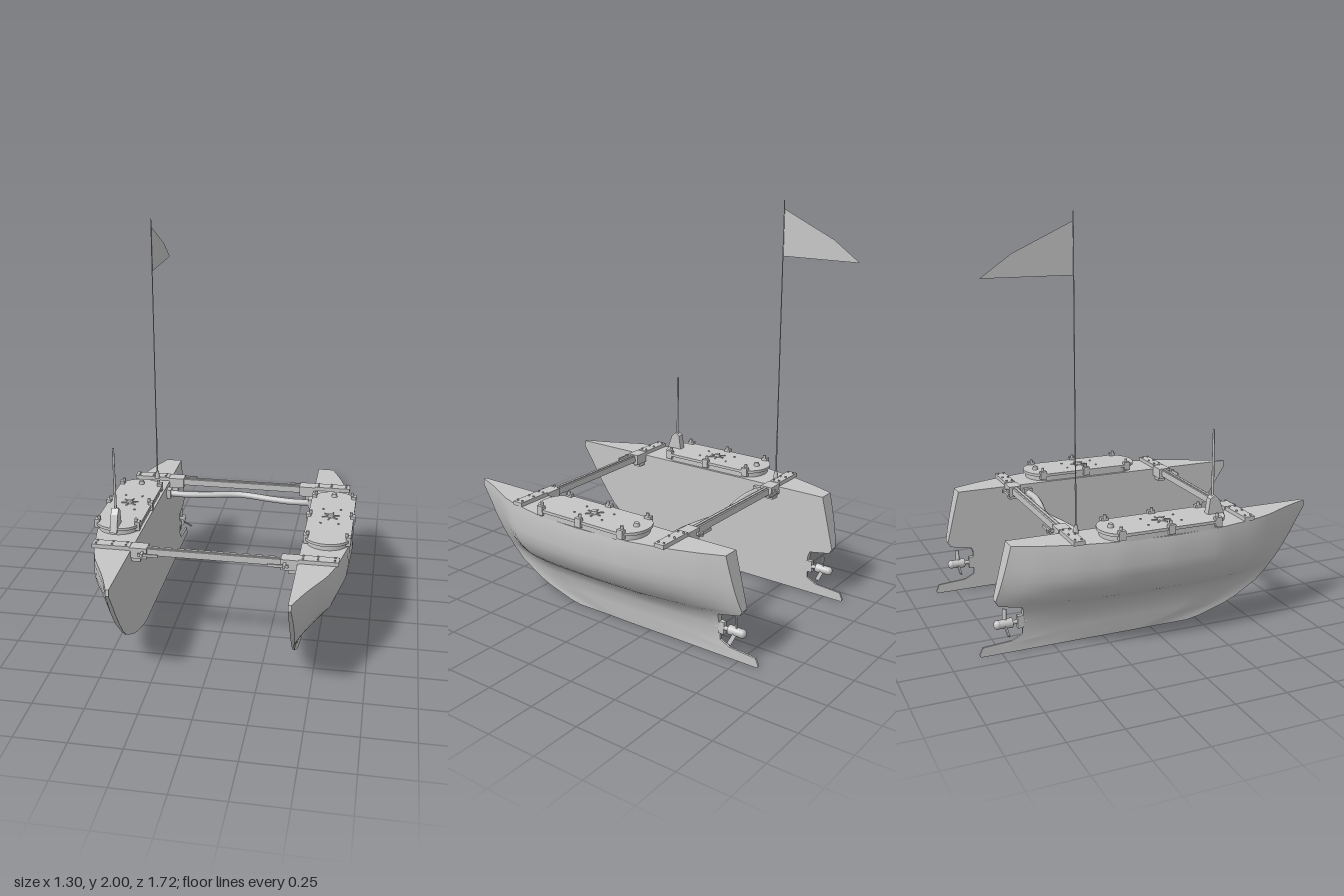
import * as THREE from 'three';
import { toCreasedNormals } from 'three/addons/utils/BufferGeometryUtils.js';

const grey = new THREE.MeshStandardMaterial({ color: 0xc6c6c6 });
grey.name = 'light grey';
grey.side = THREE.DoubleSide;

const INNER = 0.405; // flat inboard face of each hull

// Hull waterlines: height, fullness, stern z, bow z
const ROWS = [
  [0, 0.05, -0.85, 0.2], [0.01, 0.06, -0.855, 0.26], [0.045, 0.07, -0.84, 0.38],
  [0.055, 0.08, -0.7, 0.41], [0.08, 0.09, -0.65, 0.47], [0.15, 0.15, -0.65, 0.59],
  [0.2, 0.27, -0.65, 0.645], [0.225, 0.42, -0.66, 0.665], [0.245, 0.55, -0.77, 0.68],
  [0.27, 0.68, -0.785, 0.7], [0.32, 0.86, -0.773, 0.735], [0.37, 0.96, -0.761, 0.77],
  [0.42, 1, -0.749, 0.8], [0.51, 1, -0.727, 0.86], [0.54, 0.985, -0.72, 0.855],
];
// Deck plan: z, width
const PLAN = [
  [-0.86, 0.04], [-0.72, 0.085], [-0.6, 0.135], [-0.44, 0.185], [-0.25, 0.225], [0, 0.24],
  [0.25, 0.23], [0.45, 0.19], [0.65, 0.125], [0.78, 0.08], [0.87, 0.055],
];

function planWidth(z) {
  const k = Math.max(1, PLAN.findIndex((p) => p[0] >= z));
  const [a, b] = [PLAN[k - 1], PLAN[k]];
  return a[1] + ((b[1] - a[1]) * (z - a[0])) / (b[0] - a[0]);
}

// Loft of closed waterline rings: outboard side stern to bow, inboard side back
function hullGeometry(side) {
  const n = 32, ring = 2 * (n + 1), pos = [], idx = [];
  for (const [y, full, zs, zb] of ROWS) {
    const zAt = (i) => zs + (zb - zs) * (i / n);
    for (let i = 0; i <= n; i++) {
      const z = zAt(i);
      const taper = Math.min(1, Math.sqrt((zb - z + 0.02) / 0.3));
      pos.push(side * (INNER + Math.max(0.01, planWidth(z) * full * taper)), y, z);
    }
    for (let i = n; i >= 0; i--) pos.push(side * INNER, y, zAt(i));
  }
  const tri = (a, b, c) => (side > 0 ? idx.push(a, b, c) : idx.push(a, c, b));
  for (let j = 0; j < ROWS.length - 1; j++) {
    for (let i = 0; i < ring; i++) {
      const a = j * ring + i, b = j * ring + ((i + 1) % ring);
      tri(a, a + ring, b);
      tri(b, a + ring, b + ring);
    }
  }
  const top = (ROWS.length - 1) * ring;
  for (let i = 0; i < n; i++) {
    const o = i, o2 = i + 1, m = ring - 1 - i, m2 = m - 1;
    tri(top + m, top + m2, top + o); // deck
    tri(top + o, top + m2, top + o2);
    tri(m, o, m2); // keel
    tri(o, o2, m2);
  }
  const g = new THREE.BufferGeometry();
  g.setAttribute('position', new THREE.Float32BufferAttribute(pos, 3));
  g.setIndex(idx);
  return toCreasedNormals(g, 0.6);
}

function add(parent, name, geo, x = 0, y = 0, z = 0) {
  const m = new THREE.Mesh(geo, grey);
  m.name = name;
  m.position.set(x, y, z);
  parent.add(m);
  return m;
}
const box = (w, h, d) => new THREE.BoxGeometry(w, h, d);
const rod = (r1, r2, h, s = 10) => new THREE.CylinderGeometry(r1, r2, h, s);

// Long plate with half-elliptical ends, lying flat
function lidGeometry(w, len, end, h) {
  const s = new THREE.Shape();
  s.absellipse(0, len - end, w, end, 0, Math.PI, false, 0);
  s.absellipse(0, -(len - end), w, end, Math.PI, 2 * Math.PI, false, 0);
  const g = new THREE.ExtrudeGeometry(s, { depth: h, bevelEnabled: false, curveSegments: 14 });
  return toCreasedNormals(g.rotateX(-Math.PI / 2), 0.6);
}

function buildSide(side) {
  const g = new THREE.Group();
  g.name = side > 0 ? 'leftHull' : 'rightHull';
  add(g, 'hull', hullGeometry(side));

  // Hatch with latches, bolts and a centre fitting
  const hx = side * 0.527;
  add(g, 'hatchRim', lidGeometry(0.108, 0.305, 0.1, 0.03), hx, 0.538, 0);
  add(g, 'hatchLid', lidGeometry(0.116, 0.318, 0.1, 0.014), hx, 0.566, 0);
  for (const [dx, z] of [[-0.112, 0], [0.112, 0], [-0.104, 0.245], [0.104, 0.245], [-0.104, -0.245], [0.104, -0.245]]) {
    add(g, 'latch', box(0.024, 0.045, 0.034), hx + dx, 0.572, z);
    add(g, 'latchKnob', rod(0.008, 0.008, 0.02), hx + dx * 0.92, 0.6, z);
  }
  for (const z of [-0.085, 0.085]) for (const dx of [-0.045, 0.045]) {
    add(g, 'bolt', rod(0.005, 0.005, 0.006, 8), hx + dx, 0.582, z);
  }
  add(g, 'ventCap', rod(0.012, 0.016, 0.02, 12), hx, 0.587, -0.255);
  add(g, 'centreFitting', rod(0.014, 0.018, 0.016, 12), hx, 0.587, 0);
  for (const a of [0.3, 1.35, 2.4]) {
    add(g, 'fittingArm', box(0.09, 0.005, 0.006), hx, 0.583, 0).rotation.y = a;
  }

  // Beam mounts on deck, with clamp levers
  for (const end of [-1, 1]) {
    const z = end * 0.435;
    add(g, 'beamPlate', box(0.19, 0.02, 0.054), side * 0.505, 0.55, z);
    add(g, 'beamBracket', box(0.085, 0.055, 0.064), side * 0.368, 0.53, z);
    add(g, 'bracketFoot', box(0.05, 0.03, 0.04), side * 0.385, 0.495, z);
    add(g, 'clampPin', box(0.012, 0.016, 0.05), side * 0.345, 0.535, z + end * 0.04);
    add(g, 'clampLever', box(0.1, 0.014, 0.008), side * 0.3, 0.535, z + end * 0.054).position.x = side * 0.315;
    for (const x of [0.43, 0.5, 0.58]) for (const dz of [-0.015, 0.015]) {
      add(g, 'mountBolt', rod(0.005, 0.005, 0.008, 8), side * x, 0.563, z + dz);
    }
  }
  add(g, 'braceSocket', box(0.025, 0.05, 0.045), side * 0.395, 0.495, -0.345);

  // Thruster behind the fin
  const t = new THREE.Group();
  t.name = 'thruster';
  t.position.set(side * 0.414, 0.145, 0);
  add(t, 'thrusterShaft', rod(0.01, 0.01, 0.1), 0, 0, -0.68).rotation.x = Math.PI / 2;
  add(t, 'thrusterMount', box(0.022, 0.06, 0.03), 0, 0, -0.66);
  add(t, 'thrusterMotor', rod(0.024, 0.02, 0.07, 14), 0, 0, -0.735).rotation.x = Math.PI / 2;
  const nose = add(t, 'thrusterNose', new THREE.SphereGeometry(0.022, 14, 8), 0, 0, -0.768);
  nose.scale.z = 0.9;
  for (let k = 0; k < 3; k++) {
    const hub = new THREE.Group();
    hub.name = 'propellerBlade';
    hub.position.z = -0.735;
    hub.rotation.z = (k * 2 * Math.PI) / 3;
    add(hub, 'blade', box(0.02, 0.055, 0.005), 0, 0.045, 0).rotation.y = 0.8;
    t.add(hub);
  }
  g.add(t);
  return g;
}

export function createModel() {
  const model = new THREE.Group();
  model.name = 'catamaran';
  for (const side of [-1, 1]) model.add(buildSide(side));

  // Cross beams
  for (const z of [-0.435, 0.435]) {
    add(model, 'crossBeam', box(0.72, 0.034, 0.032), 0, 0.533, z);
    add(model, 'beamRail', box(0.66, 0.008, 0.014), 0, 0.551, z);
  }

  // Bent brace tube between the hulls
  const path = new THREE.CatmullRomCurve3([
    [-0.41, 0.495, -0.345], [-0.3, 0.495, -0.338], [-0.18, 0.495, -0.353], [0, 0.495, -0.385],
    [0.18, 0.495, -0.353], [0.3, 0.495, -0.338], [0.41, 0.495, -0.345],
  ].map((p) => new THREE.Vector3(...p)));
  add(model, 'braceTube', new THREE.TubeGeometry(path, 40, 0.017, 12));

  // Antenna on the right hull
  const s = new THREE.Shape([[0.33, 0.56], [0.235, 0.56], [0.25, 0.655], [0.275, 0.672], [0.3, 0.645]].map((p) => new THREE.Vector2(...p)));
  const housing = new THREE.ExtrudeGeometry(s, { depth: 0.036, bevelEnabled: false }).rotateY(-Math.PI / 2);
  add(model, 'antennaHousing', housing, -0.51, 0, 0);
  add(model, 'antennaRod', rod(0.005, 0.007, 0.36), -0.528, 0.81, 0.27);

  // Flag pole and pennant
  add(model, 'poleBase', rod(0.008, 0.014, 0.04), -0.475, 0.575, -0.405);
  add(model, 'lowerPole', rod(0.004, 0.004, 0.22, 8), -0.475, 0.68, -0.405);
  add(model, 'flagPole', rod(0.0025, 0.003, 1.42, 8), -0.475, 1.29, -0.405);
  const f = new THREE.Shape([[0, 1.725], [0.42, 1.725], [0.28, 1.825], [0, 1.958]].map((p) => new THREE.Vector2(...p)));
  add(model, 'pennant', new THREE.ShapeGeometry(f).rotateY(Math.PI / 2), -0.475, 0, -0.405);
  return model;
}
